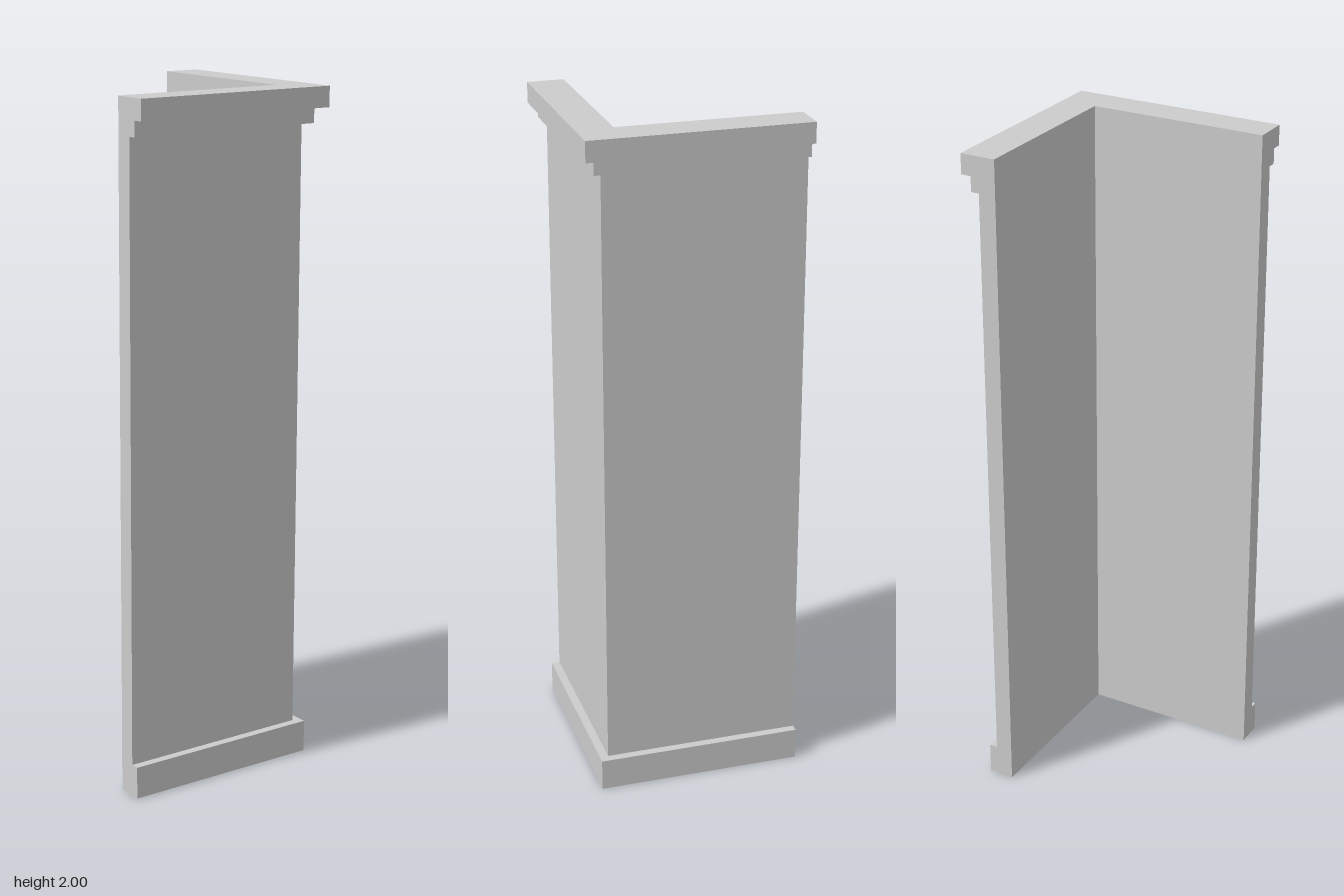
import * as THREE from 'three';

const END = 0.32; // where both arms of the corner stop

// Wall cross-section as [distance from centre, height], counter-clockwise
const profile = [
  [0.213, 0], [0.29, 0], [0.29, 0.095], [0.265, 0.095],   // skirting
  [0.265, 1.895], [0.29, 1.895], [0.29, 1.94],            // wall face, lower cornice step
  [0.32, 1.94], [0.32, 2], [0.213, 2],                    // upper cornice step, top
].map(([d, y]) => new THREE.Vector2(d, y));

// The section is swept from the front end, round the mitred corner, to the far end
const stations = [
  (p) => [p.x, p.y, END],
  (p) => [p.x, p.y, -p.x],
  (p) => [-END, p.y, -p.x],
];

function cornerGeometry() {
  const positions = [];
  const triangle = (a, b, c) => positions.push(...a, ...b, ...c);

  // Long faces of the two arms
  for (let s = 0; s < stations.length - 1; s++) {
    const [here, next] = [stations[s], stations[s + 1]];
    profile.forEach((a, i) => {
      const b = profile[(i + 1) % profile.length];
      triangle(here(a), next(a), next(b));
      triangle(here(a), next(b), here(b));
    });
  }

  // Caps on the two ends
  const [first, last] = [stations[0], stations[2]];
  for (const [i, j, k] of THREE.ShapeUtils.triangulateShape(profile, [])) {
    triangle(first(profile[i]), first(profile[j]), first(profile[k]));
    triangle(last(profile[k]), last(profile[j]), last(profile[i]));
  }

  const geometry = new THREE.BufferGeometry();
  geometry.setAttribute('position', new THREE.Float32BufferAttribute(positions, 3));
  geometry.computeVertexNormals();
  return geometry;
}

export function createModel() {
  const group = new THREE.Group();
  group.name = 'cornerWall';
  const material = new THREE.MeshStandardMaterial({ color: 0xcccccc, flatShading: true });
  const wall = new THREE.Mesh(cornerGeometry(), material);
  wall.name = 'mouldedCornerPanel';
  group.add(wall);
  return group;
}
